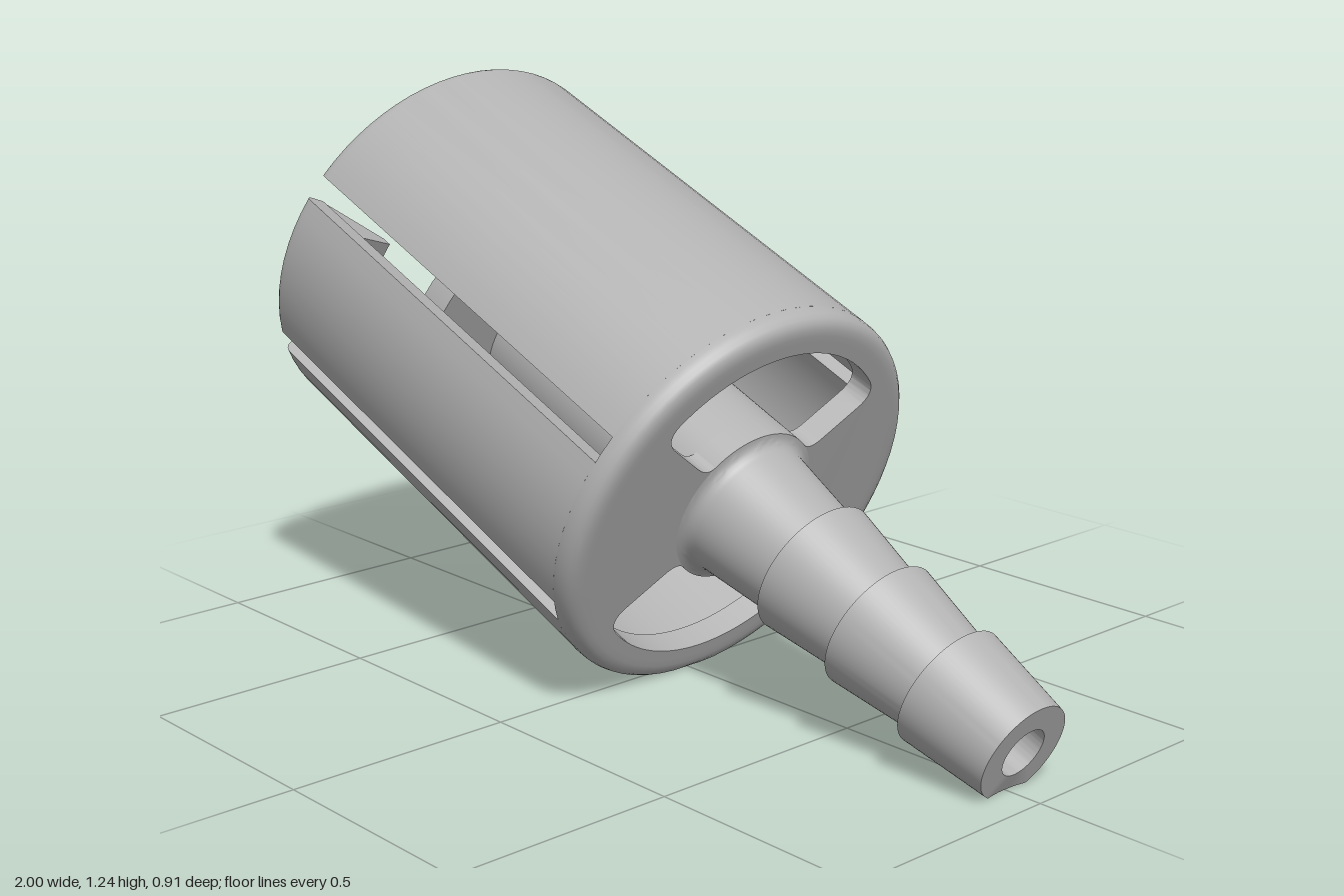
import * as THREE from 'three';
import { toCreasedNormals } from 'three/addons/utils/BufferGeometryUtils.js';

const RAD = Math.PI / 180;
const TILT = 22.5 * RAD;      // the axis dips towards +x
const R = 0.456, WALL = 0.4;  // outer and inner radius of the sleeve
const BACK = -1.11;           // open end of the sleeve; its front face is at 0

export function createModel() {
  const group = new THREE.Group();
  group.name = 'hoseFitting';
  const grey = new THREE.MeshStandardMaterial({ color: 0xb2b2b2 });
  grey.name = 'grey plastic';

  // Tilts a part built along local y and flattens it where it meets the ground
  const add = (name, geometry) => {
    geometry.rotateZ(-Math.PI / 2 - TILT);
    geometry.translate(0.195, 0.403, 0);
    const p = geometry.attributes.position;
    for (let i = 0; i < p.count; i++) p.setY(i, Math.max(0, p.getY(i)));
    const mesh = new THREE.Mesh(toCreasedNormals(geometry, 32 * RAD), grey);
    mesh.name = name;
    group.add(mesh);
  };

  // Sweeps a closed (radius, axial) profile around the axis between two angles
  const sweep = (shape, from, to) => {
    const steps = Math.max(3, Math.ceil((to - from) / 5));
    const g = new THREE.ExtrudeGeometry(shape, {
      depth: (to - from) * RAD, steps, bevelEnabled: false, curveSegments: 5,
    });
    const p = g.attributes.position;
    for (let i = 0; i < p.count; i++) {
      const r = p.getX(i), t = p.getY(i), a = from * RAD + p.getZ(i);
      p.setXYZ(i, r * Math.cos(a), t, r * Math.sin(a));
    }
    return g;
  };
  const profile = (pts) => new THREE.Shape(pts.map(([x, y]) => new THREE.Vector2(x, y)));

  // Sleeve wall: four segments separated by slots
  const wall = new THREE.Shape();
  wall.moveTo(WALL, -0.05);
  wall.lineTo(WALL, BACK);
  wall.lineTo(R - 0.025, BACK);
  wall.quadraticCurveTo(R, BACK, R, BACK + 0.025);
  wall.lineTo(R, -0.05);
  const rib = profile([[0.372, -0.76], [0.372, BACK + 0.01], [WALL + 0.01, BACK + 0.01], [WALL + 0.01, -0.76]]);
  const hook = profile([[WALL + 0.01, BACK + 0.01], [WALL - 0.01, BACK + 0.01],
    [0.3, -0.99], [0.3, -0.965], [WALL + 0.01, -0.95]]);
  for (const [name, mid] of [['lower', 0], ['upper', 180]]) {
    add(name + 'WallSegment', sweep(wall, mid - 60.1, mid + 60.1));
    add(name + 'KeyRib', sweep(rib, mid - 6.5, mid + 6.5));
  }
  for (const [name, mid] of [['left', 90], ['right', 270]]) {
    add(name + 'WallSegment', sweep(wall, mid - 22.3, mid + 22.3));
    add(name + 'SnapHook', sweep(hook, mid - 22, mid + 22));
  }

  // Rounded rim joining the segments at the front
  const rim = new THREE.Shape();
  rim.moveTo(WALL, -0.05);
  rim.lineTo(R, -0.05);
  rim.lineTo(R, -0.04);
  rim.quadraticCurveTo(R, 0, R - 0.04, 0);
  rim.lineTo(WALL, 0);
  add('frontRim', sweep(rim, 0, 360));

  // Front plate with two curved windows
  const plate = new THREE.Shape();
  plate.absarc(0, 0, WALL, 0, Math.PI * 2, false);
  const bore = new THREE.Path();
  bore.absarc(0, 0, 0.1, 0, Math.PI * 2, true);
  plate.holes.push(bore);
  for (const mid of [0, 180]) {
    const at = (r, deg) => [r * Math.cos((mid + deg) * RAD), r * Math.sin((mid + deg) * RAD)];
    const w = new THREE.Path();
    const ro = 0.375, ri = 0.18, half = 53;
    w.moveTo(...at(ro, -half + 7));
    w.absarc(0, 0, ro, (mid - half + 7) * RAD, (mid + half - 7) * RAD, false);
    w.quadraticCurveTo(...at(ro, half), ...at(ro - 0.05, half));
    w.lineTo(...at(ri + 0.04, half));
    w.quadraticCurveTo(...at(ri, half), ...at(ri, half - 10));
    w.absarc(0, 0, ri, (mid + half - 10) * RAD, (mid - half + 10) * RAD, true);
    w.quadraticCurveTo(...at(ri, -half), ...at(ri + 0.04, -half));
    w.lineTo(...at(ro - 0.05, -half));
    w.quadraticCurveTo(...at(ro, -half), ...at(ro, -half + 7));
    plate.holes.push(w);
  }
  const plateGeometry = new THREE.ExtrudeGeometry(plate, { depth: 0.06, bevelEnabled: false, curveSegments: 36 });
  plateGeometry.rotateX(-Math.PI / 2);
  plateGeometry.translate(0, -0.06, 0);
  add('frontPlate', plateGeometry);

  // Barbed nozzle, inner tube and inner disc around one bore
  const core = new THREE.Shape();
  core.moveTo(0.055, 0.823);
  core.lineTo(0.055, -0.74);
  core.lineTo(0.365, -0.74);
  core.lineTo(0.365, -0.668);
  core.lineTo(0.18, -0.668);
  core.lineTo(0.18, 0);
  core.quadraticCurveTo(0.155, 0.003, 0.152, 0.03);
  for (const [r, t] of [[0.128, 0.225], [0.152, 0.225], [0.121, 0.42], [0.144, 0.42],
    [0.112, 0.62], [0.135, 0.62], [0.11, 0.823]]) core.lineTo(r, t);
  add('barbedNozzle', sweep(core, 0, 360));

  return group;
}
